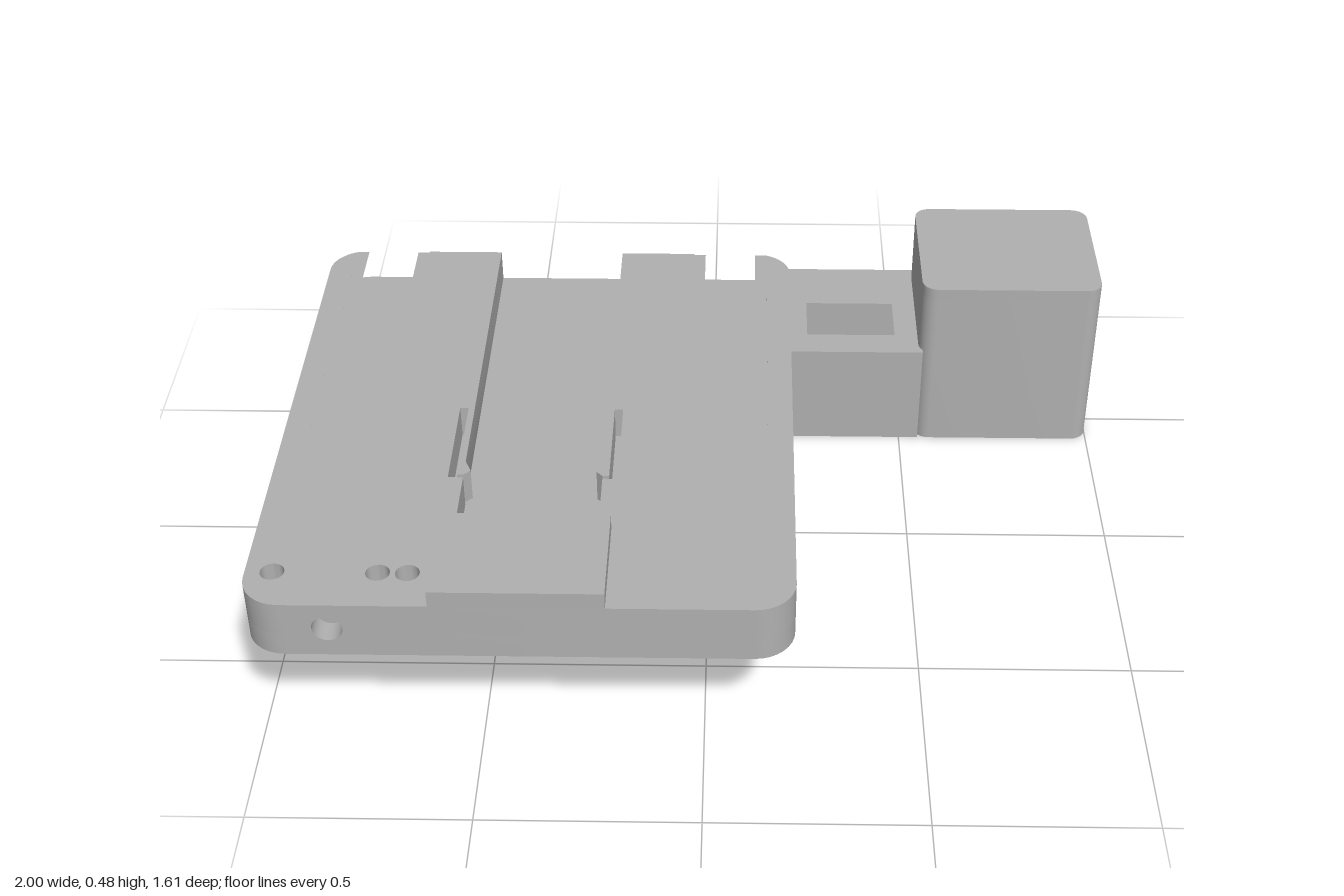
import * as THREE from 'three';
import { toCreasedNormals } from 'three/addons/utils/BufferGeometryUtils.js';
import { ConvexGeometry } from 'three/addons/geometries/ConvexGeometry.js';

const rad = Math.PI / 180;

// Points of an arc in degrees
function arc(cx, cy, r, a0, a1, n = 8) {
  return Array.from({ length: n + 1 }, (_, i) => {
    const a = (a0 + ((a1 - a0) * i) / n) * rad;
    return [cx + r * Math.cos(a), cy + r * Math.sin(a)];
  });
}
const circle = (x, y, r) => arc(x, y, r, 0, 352.5, 23);
const rect = (x0, x1, y0, y1) => [[x0, y0], [x1, y0], [x1, y1], [x0, y1]];

function extrude(points, holes, depth) {
  const vec = (list) => list.map(([x, y]) => new THREE.Vector2(x, y));
  const shape = new THREE.Shape(vec(points));
  shape.holes = holes.map((h) => new THREE.Path(vec(h)));
  return new THREE.ExtrudeGeometry(shape, { depth, bevelEnabled: false });
}

// Outline in [x, z], raised from y0 to y1
function slab(points, holes, y0, y1) {
  const flip = (list) => list.map(([x, z]) => [x, -z]);
  const g = extrude(flip(points), holes.map(flip), y1 - y0);
  return toCreasedNormals(g.rotateX(-Math.PI / 2).translate(0, y0, 0), 0.6);
}

// Outline in [x, y], running from z0 to z1
const bar = (points, holes, z0, z1) => toCreasedNormals(extrude(points, holes, z1 - z0).translate(0, 0, z0), 0.6);

// Outline in [z, y], running from x0 to x1
function wall(points, holes, x0, x1) {
  const flip = (list) => list.map(([z, y]) => [-z, y]);
  const g = extrude(flip(points), holes.map(flip), x1 - x0);
  return toCreasedNormals(g.rotateY(Math.PI / 2).translate(x0, 0, 0), 0.6);
}

export function createModel() {
  const model = new THREE.Group();
  const grey = new THREE.MeshStandardMaterial({ color: 0xb0b0b0 });
  grey.name = 'grey plastic';

  function add(parent, name, geometry) {
    const mesh = new THREE.Mesh(geometry, grey);
    mesh.name = name;
    parent.add(mesh);
    return mesh;
  }
  function group(name) {
    const g = new THREE.Group();
    g.name = name;
    model.add(g);
    return g;
  }

  // Mounting plate, symmetric about x = -0.4
  const plate = group('mountingPlate');
  const mirror = (list) => list.map(([x, y]) => [-0.8 - x, y]);
  const bottom = 0.3, floor = 0.36, top = 0.44;
  const front = [
    ...arc(-0.91, 0.71, 0.09, 180, 90),
    [-0.88, 0.8], [-0.88, 0.745], [-0.74, 0.745], [-0.74, 0.8],
    ...arc(0.11, 0.71, 0.09, 90, 0),
  ];
  const bigHoles = [];
  for (const x of [-0.65, -0.15]) for (const z of [-0.23, 0.42]) bigHoles.push(circle(x, z, 0.045));
  add(plate, 'plateBase', slab(
    [...front, ...arc(0.11, -0.53, 0.09, 0, -90), ...arc(-0.91, -0.53, 0.09, -90, -180)],
    [
      ...bigHoles,
      circle(-0.84, 0.41, 0.027), circle(0.04, 0.41, 0.027), circle(-0.4, 0.5, 0.027),
      rect(-0.97, -0.62, 0.55, 0.73),
    ], bottom, floor));

  // Upper layer with two side grooves, and a centre channel with clip arms
  const halfBack = [
    ...arc(0.11, -0.53, 0.09, 0, -70.5),
    [0.14, 0.45], [-0.05, 0.45], [-0.05, -0.62], [-0.24, -0.62],
    [-0.24, 0.29], [-0.255, 0.325], [-0.24, 0.34], [-0.225, 0.34],
    [-0.225, 0.08], [-0.205, 0.08], [-0.205, 0.35], [-0.24, 0.35], [-0.24, 0.7],
  ];
  add(plate, 'plateRails', slab(
    [...front, ...halfBack, ...mirror(halfBack).reverse()],
    [-0.94, -0.71, -0.645].map((x) => circle(x, 0.69, 0.027)), floor, top));

  // Overhanging dovetail lips
  for (const [base, tip] of [[0.14, 0.11], [-0.05, -0.02]]) {
    const lip = [[base, floor], [tip, top], [base, top]];
    add(plate, 'dovetailLip', bar(lip, [], -0.615, 0.45));
    add(plate, 'dovetailLip', bar(mirror(lip), [], -0.615, 0.45));
  }
  add(plate, 'raisedStop', slab(rect(-0.59, -0.21, 0.53, 0.8), [], top, 0.48));
  add(plate, 'cablePort', bar(rect(-0.88, -0.74, bottom, top), [circle(-0.81, 0.375, 0.034)], 0.745, 0.8));

  // Hollow arm with a chamfered end and a window
  const arm = group('arm');
  const armTop = 0.275, ceiling = 0.235, back = -0.81, face = -0.41, t = 0.03;
  add(arm, 'armEnd', new ConvexGeometry([
    [0.145, 0, back], [0.145, 0, face], [0.18, 0, back], [0.18, 0, face],
    [0.05, 0.18, -0.53], [0.05, 0.18, face],
    [0.05, armTop, -0.53], [0.05, armTop, face],
    [0.145, armTop, back], [0.18, armTop, back], [0.18, armTop, face],
  ].map((p) => new THREE.Vector3(...p))));
  add(arm, 'armJoint', slab(
    [[0.05, face], [0.2, face], [0.2, -0.62], [0.08, -0.62], [0.05, -0.53]], [], armTop, bottom));
  add(arm, 'armTop', slab(rect(0.18, 0.55, back, face), [rect(0.25, 0.48, -0.64, -0.49)], ceiling, armTop));
  for (const z of [back, face - t]) {
    add(arm, 'armSide', slab(rect(0.18, 0.55, z, z + t), [], 0, ceiling));
  }

  // Hollow housing with rounded upright corners
  const housing = group('housing');
  const x0 = 0.54, x1 = 1, cx = (x0 + x1) / 2, cz = -0.61, r = 0.04, high = 0.47, cap = 0.44;
  const w = (x1 - x0) / 2, d = 0.2;
  const halfWall = [
    [-w, 0.15], ...arc(-w + r, d - r, r, 180, 90), ...arc(w - r, d - r, r, 90, 0),
    [w, 0.15], [w - t, 0.15], [w - t, d - t], [-w + t, d - t], [-w + t, 0.15],
  ];
  for (const turn of [0, Math.PI]) {
    const side = add(housing, 'housingSide', slab(halfWall, [], 0, cap));
    side.position.set(cx, 0, cz);
    side.rotation.y = turn;
  }
  const capOutline = [
    ...arc(x1 - r, face - r, r, 90, 0), ...arc(x1 - r, back + r, r, 0, -90),
    ...arc(x0 + r, back + r, r, -90, -180), ...arc(x0 + r, face - r, r, 180, 90),
  ];
  add(housing, 'housingTop', slab(capOutline, [], cap, high));

  // Round opening with flat top and bottom
  const opening = [...arc(cz, 0.267, 0.129, -66, 66, 20), ...arc(cz, 0.267, 0.129, 114, 246, 20)]
    .map(([z, y]) => [z, Math.min(0.385, Math.max(0.15, y))]);
  add(housing, 'openingWall', wall(rect(-0.76, -0.46, 0, cap), [opening], x1 - t, x1));
  add(housing, 'innerWall', wall(
    [[-0.76, 0], [-0.675, 0], [-0.675, ceiling], [-0.46, ceiling], [-0.46, cap], [-0.76, cap]],
    [], x0, x0 + t));

  // Ledge for a bottom cover
  add(model, 'coverLedge', slab(
    rect(0.18, x1 - t, back + t, face - t), [rect(0.21, 0.94, -0.75, -0.47)], 0.03, 0.05));

  return model;
}
